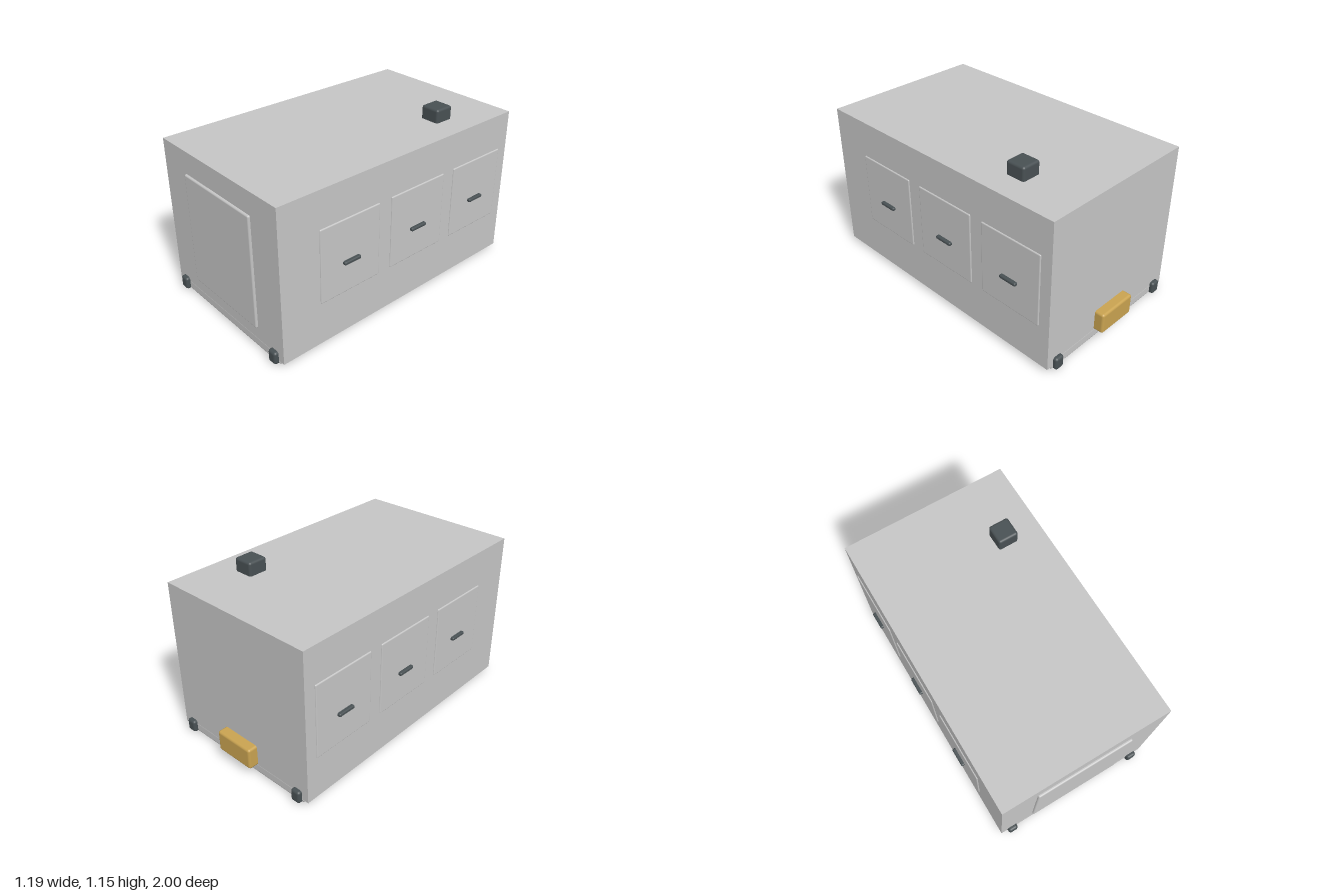
import * as THREE from 'three';
import { RoundedBoxGeometry } from 'three/addons/geometries/RoundedBoxGeometry.js';

const material = (name, color) => {
  const m = new THREE.MeshStandardMaterial({ color });
  m.name = name;
  return m;
};

export function createModel() {
  const shellGrey = material('shellGrey', 0xc4c4c4);
  const darkSteel = material('darkSteel', 0x485053);
  const ochre = material('ochre', 0xc8a250);

  const model = new THREE.Group();
  model.name = 'containerUnit';
  const midZ = 0.018;

  const add = (name, geometry, mat, x, y, z) => {
    const mesh = new THREE.Mesh(geometry, mat);
    mesh.name = name;
    mesh.position.set(x, y, z);
    model.add(mesh);
  };
  const rounded = (name, mat, [w, h, d], [x, y, z], radius) =>
    add(name, new RoundedBoxGeometry(w, h, d, 3, radius), mat, x, y, z);

  // Main housing
  add('housing', new THREE.BoxGeometry(1.134, 1.03, 1.906), shellGrey, 0, 0.545, midZ);

  // Skid base: two long runners joined by a cross beam at each end
  for (const side of [-1, 1]) {
    rounded('runner', darkSteel, [0.068, 0.086, 1.963], [side * 0.484, 0.047, midZ], 0.017);
    rounded('crossBeam', shellGrey, [1.066, 0.08, 0.075], [0, 0.04, midZ + side * 0.9165], 0.02);
  }

  // Large access panel on the front
  rounded('frontPanel', shellGrey, [0.654, 0.759, 0.036], [0, 0.53, 0.968], 0.01);

  // Three doors with bar handles on each side
  for (const side of [-1, 1]) {
    for (const z of [0.466, -0.085, -0.631]) {
      rounded('sideDoor', shellGrey, [0.024, 0.497, 0.455], [side * 0.562, 0.567, z], 0.008);
      rounded('doorHandle', darkSteel, [0.03, 0.023, 0.126], [side * 0.581, 0.53, z], 0.009);
    }
  }

  // Roof exhaust
  rounded('exhaust', darkSteel, [0.136, 0.13, 0.136], [0.324, 1.084, -0.492], 0.016);

  // Connection box on the back
  rounded('connectionBox', ochre, [0.286, 0.144, 0.085], [0, 0.139, -0.9575], 0.016);

  return model;
}
